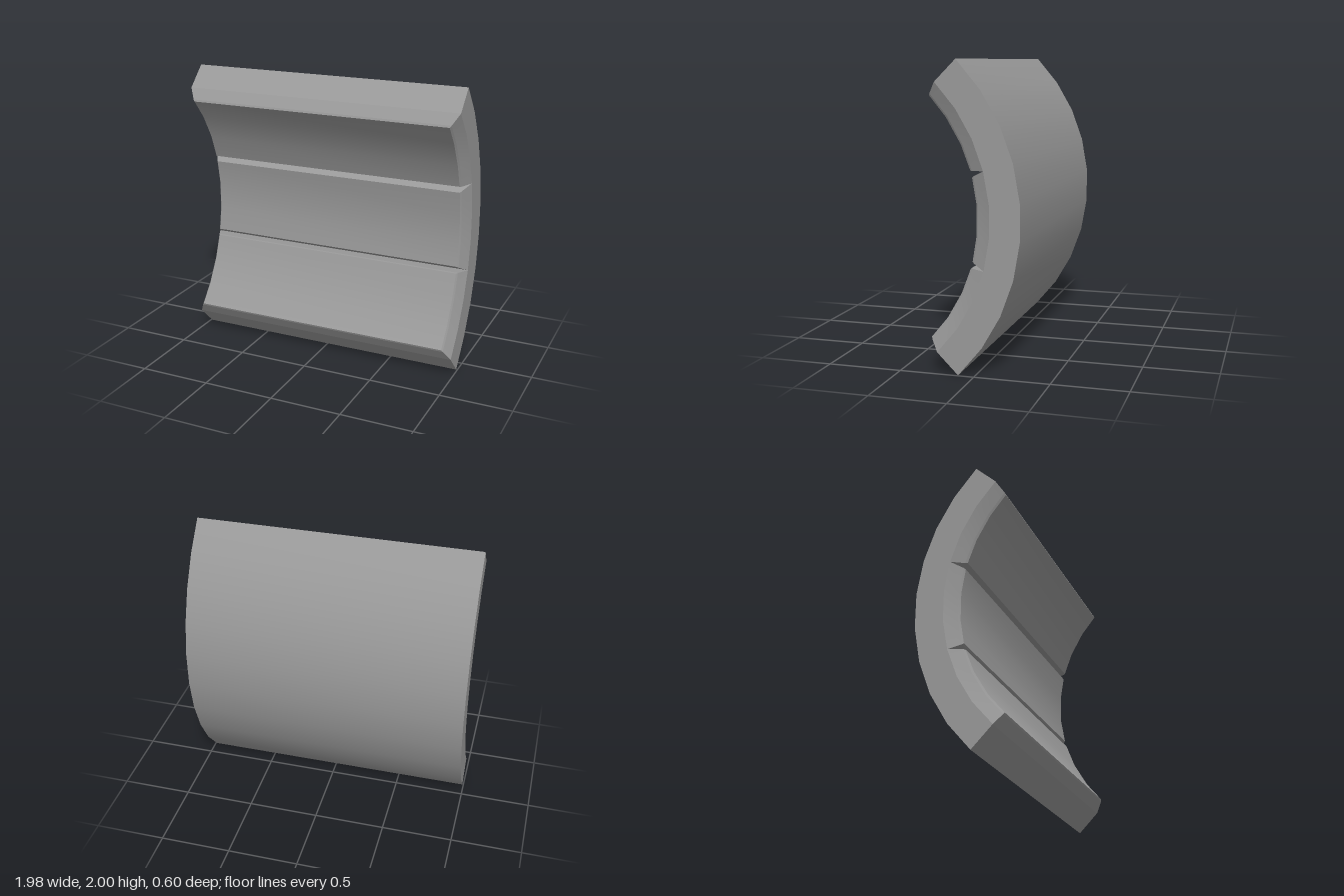
import * as THREE from 'three';
import { mergeGeometries } from 'three/addons/utils/BufferGeometryUtils.js';

const CENTRE_Z = 1.107, OUTER_R = 1.414, CORE_R = 1.215, HALF_X = 0.992;

// point on a cylinder around the x axis, angle in degrees above the horizontal
function point(r, deg, x) {
  const a = THREE.MathUtils.degToRad(deg);
  return [x, 1 + r * Math.sin(a), CENTRE_Z - r * Math.cos(a)];
}
const row = (r, angles, x) => angles.map((a) => point(r, a, x));

// surface between two rows of points, smooth along the rows
function strip(a, b) {
  const g = new THREE.BufferGeometry();
  const index = [], n = a.length;
  for (let i = 0; i < n - 1; i++) index.push(i, i + 1, n + i + 1, i, n + i + 1, n + i);
  g.setAttribute('position', new THREE.Float32BufferAttribute([...a, ...b].flat(), 3));
  g.setIndex(index);
  g.computeVertexNormals();
  return g;
}

// the four walls joining a back level to a front level
function walls(back, front) {
  const edge = (l, i) => [point(l.r, l.angles.at(i), -l.x), point(l.r, l.angles.at(i), l.x)];
  return [
    strip(row(back.r, back.angles, back.x), row(front.r, front.angles, front.x)),
    strip(row(front.r, front.angles, -front.x), row(back.r, back.angles, -back.x)),
    strip(edge(back, 0), edge(front, 0)),
    strip(edge(front, -1), edge(back, -1)),
  ];
}

// one level of a pad: four angles across a 30 degree span, pulled in at its edges
const level = (mid, r, half, x) => ({ r, x, angles: [mid - half, mid - 5, mid + 5, mid + half] });

export function createModel() {
  const group = new THREE.Group();
  group.name = 'curvedPanel';
  const grey = new THREE.MeshStandardMaterial({ color: 0x999999 });
  grey.name = 'grey';
  const add = (name, parts) => {
    const mesh = new THREE.Mesh(mergeGeometries(parts), grey);
    mesh.name = name;
    group.add(mesh);
  };

  // curved backing shell
  const angles = Array.from({ length: 10 }, (_, i) => -45 + i * 10);
  const outer = { r: OUTER_R, angles, x: HALF_X };
  const core = { r: CORE_R, angles, x: HALF_X };
  add('shell', [
    strip(row(OUTER_R, angles, -HALF_X), row(OUTER_R, angles, HALF_X)),
    ...walls(outer, core),
  ]);

  // three bevelled pads on the hollow side, with V grooves between them
  [['lowerPad', -30], ['middlePad', 0], ['upperPad', 30]].forEach(([name, mid]) => {
    const base = level(mid, CORE_R, 15, HALF_X);
    const rim = level(mid, 1.13, 14.1, 0.948);
    const face = level(mid, 1.117, 13.8, 0.938);
    add(name, [
      ...walls(base, rim),
      ...walls(rim, face),
      strip(row(face.r, face.angles, face.x), row(face.r, face.angles, -face.x)),
    ]);
  });
  return group;
}
